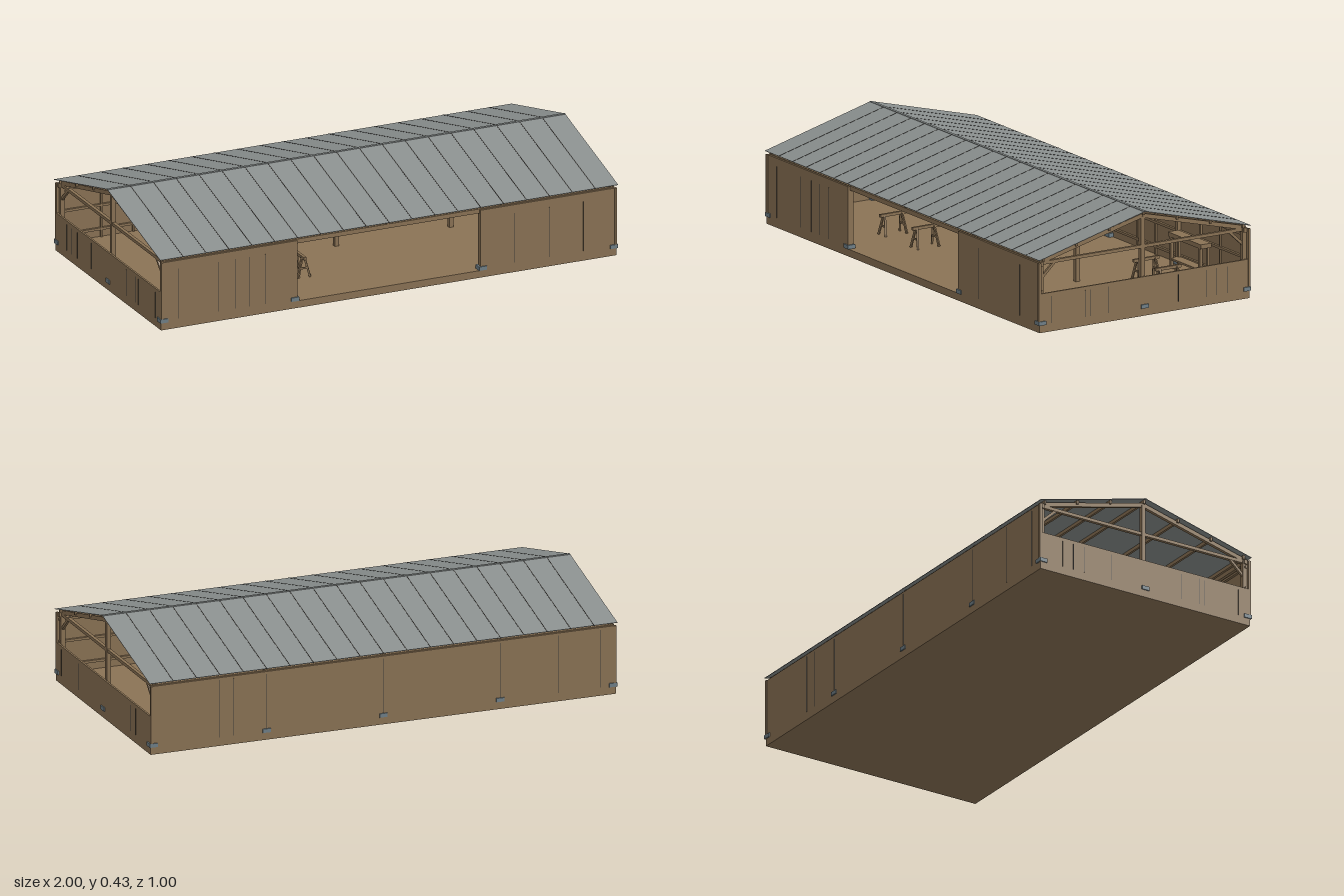
import * as THREE from 'three';

const mat = (name, color, extra = {}) => Object.assign(new THREE.MeshStandardMaterial({ color, ...extra }), { name });

export function createModel() {
  const root = new THREE.Group();
  root.name = 'openGabledBarn';
  const wood = mat('wood', 0x8b7355);
  const metal = mat('roofMetal', 0x8a8f8e, { side: THREE.DoubleSide });
  const steel = mat('shoeSteel', 0x708088);
  const seam = mat('seamDark', 0x3c3a36);

  const group = (name, parent = root) => {
    const g = new THREE.Group();
    g.name = name;
    parent.add(g);
    return g;
  };
  const box = (parent, name, m, w, h, d, x, y, z) => {
    const mesh = new THREE.Mesh(new THREE.BoxGeometry(w, h, d), m);
    mesh.name = name;
    mesh.position.set(x, y, z);
    parent.add(mesh);
    return mesh;
  };
  // Straight member between two points
  const beam = (parent, name, m, a, b, w, h) => {
    const p = new THREE.Vector3(...a), q = new THREE.Vector3(...b);
    const mesh = new THREE.Mesh(new THREE.BoxGeometry(w, h, p.distanceTo(q)), m);
    mesh.name = name;
    mesh.position.copy(p).add(q).multiplyScalar(0.5);
    mesh.lookAt(q);
    parent.add(mesh);
    return mesh;
  };
  const roofY = z => 0.43 - 0.26 * Math.abs(z);

  // Floor
  box(root, 'floor', wood, 1.99, 0.03, 0.99, 0, 0.015, 0);

  // Cladding: tall long sides, half-height gable ends, wide front doorway
  const walls = group('walls');
  box(walls, 'backWall', wood, 1.99, 0.255, 0.008, 0, 0.1575, -0.491);
  for (const s of [-1, 1]) {
    box(walls, 'frontWall', wood, 0.595, 0.255, 0.008, s * 0.6975, 0.1575, 0.491);
    box(walls, 'endWall', wood, 0.008, 0.13, 0.974, s * 0.991, 0.095, 0);
  }

  // Fine board joints
  const joints = group('boardJoints');
  for (const x of [-0.92, -0.745, -0.67, -0.61, -0.54, 0.55, 0.7, 0.85])
    box(joints, 'frontJoint', seam, 0.002, 0.21, 0.001, x, 0.145, 0.4955);
  for (const x of [-0.93, -0.75, -0.5, 0, 0.5, 0.64, 0.7])
    box(joints, 'backJoint', seam, 0.002, 0.24, 0.001, x, 0.155, -0.4955);
  for (const s of [-1, 1])
    for (const z of [0.44, 0.28, 0.255, 0.17, -0.16, -0.29, -0.34, -0.39])
      box(joints, 'endJoint', seam, 0.001, 0.11, 0.002, s * 0.9955, 0.09, z);

  // Trusses with posts, ties, rafters and knee braces
  for (const x of [-0.975, -0.5, 0, 0.5, 0.975]) {
    const t = group('truss');
    box(t, 'kingPost', wood, 0.018, 0.375, 0.018, x, 0.2175, 0);
    box(t, 'tieBeam', wood, 0.014, 0.013, 0.96, x, 0.281, 0);
    for (const s of [-1, 1]) {
      const frontInner = s > 0 && Math.abs(x) < 0.9;
      if (!(frontInner && x === 0))
        box(t, 'post', wood, 0.018, 0.255, 0.018, frontInner ? Math.sign(x) * 0.41 : x, 0.1575, s * 0.478);
      beam(t, 'rafter', wood, [x, 0.408, 0], [x, 0.286, s * 0.485], 0.014, 0.017);
      if (!frontInner) beam(t, 'kneeBrace', wood, [x, 0.22, s * 0.475], [x, 0.285, s * 0.405], 0.01, 0.011);
    }
  }

  // Long plates, wall rails and studs
  const framing = group('wallFraming');
  for (const s of [-1, 1]) {
    box(framing, 'eavePlate', wood, 1.98, 0.018, 0.014, 0, 0.279, s * 0.48);
    for (const e of [-1, 1]) {
      const z = s * 0.494;
      box(framing, 'cornerTrim', wood, 0.01, 0.255, 0.01, e * 0.991, 0.1575, z);
    }
  }
  for (const y of [0.065, 0.165, 0.258]) {
    box(framing, 'backRail', wood, 1.96, 0.01, 0.01, 0, y, -0.482);
    for (const s of [-1, 1])
      box(framing, 'frontRail', wood, 0.58, 0.01, 0.01, s * 0.698, y, 0.482);
  }
  for (const x of [-0.8, -0.66, -0.33, -0.2, 0.2, 0.33, 0.66, 0.8])
    box(framing, 'backStud', wood, 0.008, 0.25, 0.008, x, 0.155, -0.483);

  // Purlins under the roof skin
  const roof = group('roof');
  for (const z of [-0.47, -0.316, -0.16, 0, 0.16, 0.316, 0.47])
    box(roof, 'purlin', wood, 1.98, 0.015, 0.009, 0, roofY(z) - 0.011, z);

  // Sheet roof with standing seams
  for (const s of [-1, 1]) {
    beam(roof, 'roofSheet', metal, [0, 0.428, 0], [0, 0.298, s * 0.499], 2, 0.002);
    for (let i = -9; i <= 9; i++)
      beam(roof, 'roofSeam', seam, [i * 0.1, 0.4292, 0], [i * 0.1, 0.2994, s * 0.499], 0.003, 0.001);
  }
  box(roof, 'ridgeCap', metal, 2, 0.002, 0.012, 0, 0.4285, 0);

  // Steel post shoes around the base
  const shoes = group('postShoes');
  const shoe = (x, z) => box(shoes, 'postShoe', steel, 0.034, 0.016, 0.034, x, 0.039, z);
  for (const x of [-0.983, -0.41, 0.41, 0.983]) shoe(x, 0.483);
  for (const x of [-0.983, -0.5, 0, 0.5, 0.983]) shoe(x, -0.483);
  for (const x of [-0.983, 0.983]) shoe(x, 0);

  // Sawhorses
  const sawhorse = (x, z) => {
    const g = group('sawhorse');
    box(g, 'sawhorseBeam', wood, 0.012, 0.012, 0.12, x, 0.112, z);
    for (const sz of [-1, 1]) {
      for (const sx of [-1, 1])
        beam(g, 'sawhorseLeg', wood, [x + sx * 0.005, 0.112, z + sz * 0.04],
          [x + sx * 0.026, 0.03, z + sz * 0.05], 0.008, 0.008);
      box(g, 'sawhorseBrace', wood, 0.034, 0.007, 0.006, x, 0.068, z + sz * 0.045);
    }
  };
  for (const [x, z] of [[-0.5, 0.22], [-0.265, 0.22], [0.62, -0.25], [0.78, -0.25]]) sawhorse(x, z);

  // Tool board on the back wall
  const tools = group('toolBoard');
  box(tools, 'backboard', wood, 0.24, 0.055, 0.006, -0.24, 0.193, -0.466);
  for (let i = 0; i < 7; i++)
    box(tools, 'hangingTool', seam, 0.005, i % 2 ? 0.045 : 0.058, 0.004, -0.33 + i * 0.028, 0.185, -0.461);

  // Workbench
  const bench = group('workbench');
  box(bench, 'benchTop', wood, 0.24, 0.018, 0.05, 0.65, 0.17, -0.436);
  box(bench, 'benchShelf', wood, 0.22, 0.008, 0.045, 0.65, 0.07, -0.436);
  for (const sx of [-1, 1])
    for (const z of [-0.418, -0.454])
      box(bench, 'benchLeg', wood, 0.012, 0.135, 0.012, 0.65 + sx * 0.105, 0.0975, z);

  return root;
}
